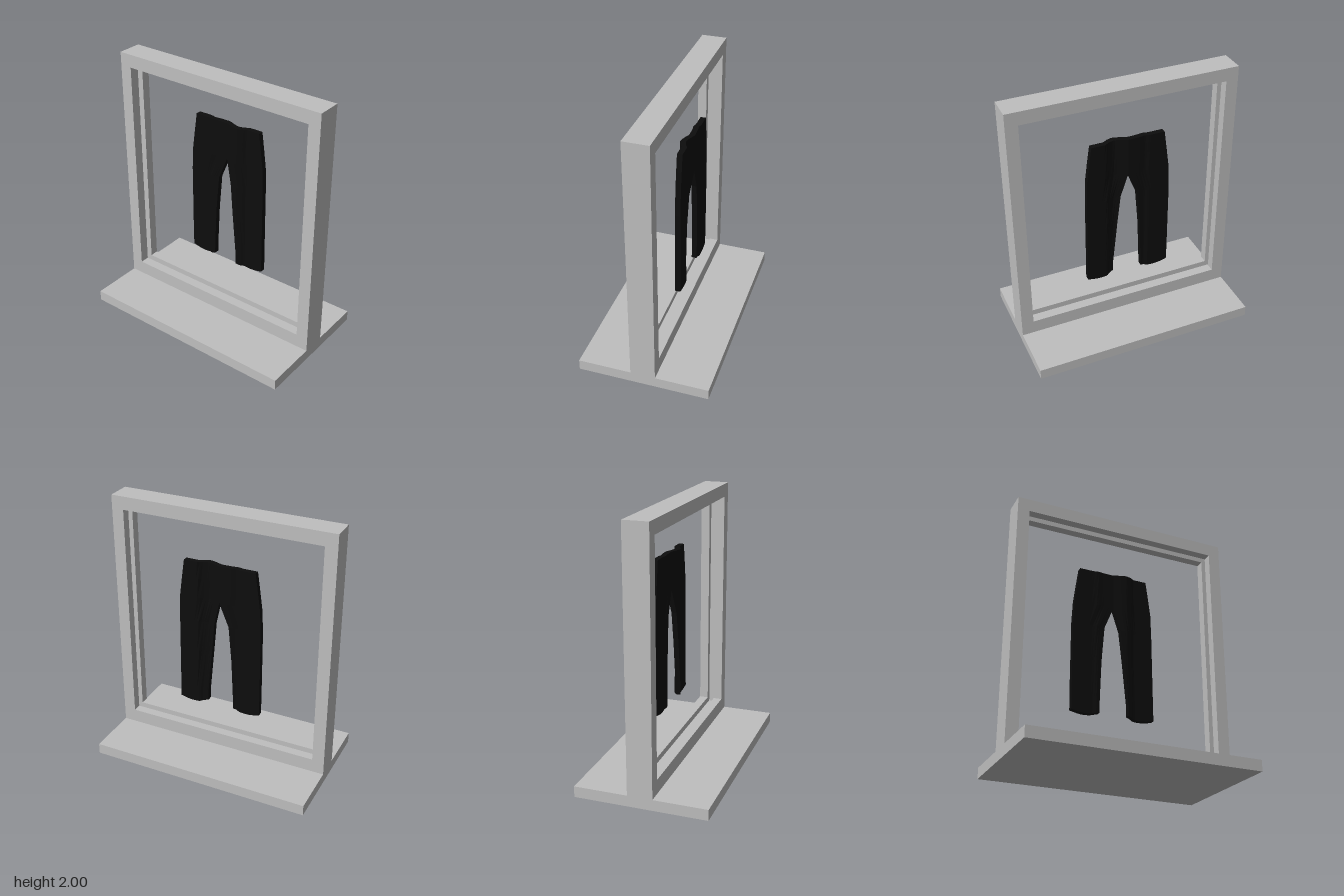
import * as THREE from 'three';

const grey = new THREE.MeshStandardMaterial({ color: 0xbfbfbf });
grey.name = 'frameGrey';
const black = new THREE.MeshStandardMaterial({ color: 0x0d0d0d });
black.name = 'clothBlack';

// piecewise linear lookup in [key, value] pairs sorted by rising key
function lookup(points, k) {
  if (k <= points[0][0]) return points[0][1];
  for (let i = 1; i < points.length; i++) {
    const [a, va] = points[i - 1], [b, vb] = points[i];
    if (k <= b) return va + (vb - va) * (k - a) / (b - a);
  }
  return points[points.length - 1][1];
}

// rectangular ring standing in the z-y plane, between x0 and x1
function frameSlab(name, x0, x1, inset) {
  const rect = (P, z, y0, y1) => {
    const p = new P();
    p.moveTo(-z, y0); p.lineTo(z, y0); p.lineTo(z, y1); p.lineTo(-z, y1); p.closePath();
    return p;
  };
  const shape = rect(THREE.Shape, 0.856, 0.083, 2);
  shape.holes.push(rect(THREE.Path, 0.764 + inset, 0.19 - inset, 1.9 + inset));
  const geo = new THREE.ExtrudeGeometry(shape, { depth: x1 - x0, bevelEnabled: false });
  geo.rotateY(Math.PI / 2);
  geo.translate(x0, 0, 0);
  const mesh = new THREE.Mesh(geo, grey);
  mesh.name = name;
  return mesh;
}

// fold depth of the cloth across its width: [z, x of the outer surface]
const folds = [[-0.335, 0.109], [-0.17, 0.11], [-0.14, 0.1], [-0.1, 0.107], [-0.01, 0.111],
  [0.04, 0.09], [0.09, 0.076], [0.14, 0.092], [0.16, 0.11], [0.32, 0.111]];
const THICK = 0.04;

// one trouser half: rows are [y, z of left edge, z of right edge], top to bottom
function trouserHalf(name, rows) {
  const N = 16, loop = 2 * (N + 1), pos = [], idx = [];
  rows.forEach(([y, zl, zr], i) => {
    const hem = i === rows.length - 1 ? 0.017 : 0;
    for (let k = 0; k < loop; k++) {
      const front = k <= N;
      const u = (front ? k : loop - 1 - k) / N;
      const z = zl + (zr - zl) * u;
      pos.push(lookup(folds, z) - (front ? 0 : THICK), y - hem * Math.sin(Math.PI * u), z);
    }
  });
  for (let i = 0; i < rows.length - 1; i++) {
    for (let k = 0; k < loop; k++) {
      const a = i * loop + k, b = i * loop + (k + 1) % loop;
      idx.push(a, a + loop, b, b, a + loop, b + loop);
    }
  }
  // waist and hem caps
  const last = (rows.length - 1) * loop;
  for (let j = 0; j < N; j++) {
    const a = j, b = j + 1, c = loop - 2 - j, d = loop - 1 - j;
    idx.push(a, b, c, a, c, d);
    idx.push(last + a, last + c, last + b, last + a, last + d, last + c);
  }
  let geo = new THREE.BufferGeometry();
  geo.setAttribute('position', new THREE.Float32BufferAttribute(pos, 3));
  geo.setIndex(idx);
  geo = geo.toNonIndexed();
  geo.computeVertexNormals();
  const mesh = new THREE.Mesh(geo, black);
  mesh.name = name;
  return mesh;
}

export function createModel() {
  const model = new THREE.Group();
  model.name = 'trouserDisplay';

  // flat foot plate
  const base = new THREE.Mesh(new THREE.BoxGeometry(0.992, 0.083, 1.712), grey);
  base.name = 'base';
  base.position.y = 0.0415;
  model.add(base);

  // upright frame with a groove running round the inside
  const frame = new THREE.Group();
  frame.name = 'frame';
  frame.add(frameSlab('leftLip', 0.027, 0.094, 0));
  frame.add(frameSlab('grooveFloor', -0.027, 0.027, 0.045));
  frame.add(frameSlab('rightLip', -0.094, -0.027, 0));
  model.add(frame);

  // trousers floating in the opening
  const trousers = new THREE.Group();
  trousers.name = 'trousers';
  trousers.add(trouserHalf('frontLeg', [
    [1.615, 0.27, -0.007], [1.48, 0.289, -0.007], [1.33, 0.308, -0.007], [1.14, 0.313, 0.043],
    [0.9, 0.315, 0.067], [0.55, 0.318, 0.101], [0.468, 0.319, 0.101],
  ]));
  trousers.add(trouserHalf('rearLeg', [
    [1.615, -0.007, -0.285], [1.48, -0.007, -0.304], [1.33, -0.007, -0.324], [1.15, -0.08, -0.333],
    [0.87, -0.103, -0.333], [0.57, -0.115, -0.333], [0.464, -0.117, -0.331],
  ]));
  model.add(trousers);

  return model;
}
